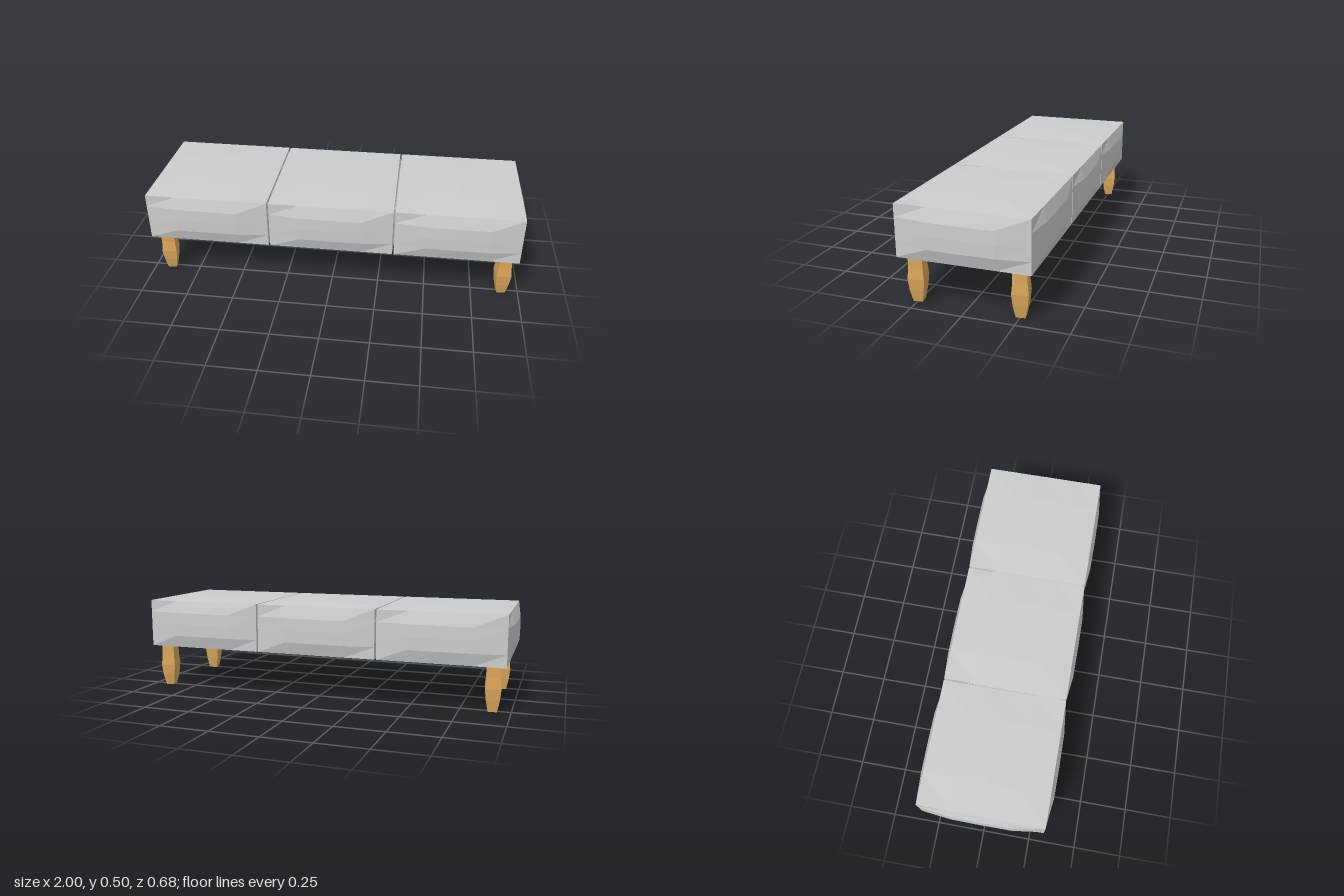
import * as THREE from 'three';

const fabric = new THREE.MeshStandardMaterial({ name: 'greyFabric', color: 0xcccccc, flatShading: true });
const wood = new THREE.MeshStandardMaterial({ name: 'lightWood', color: 0xdaa65a, flatShading: true });

// Box whose six faces swell outwards while its edges stay straight
function pillowGeometry(size, bulge) {
  const geo = new THREE.BoxGeometry(...size, 4, 4, 4);
  const pos = geo.attributes.position;
  const swell = (t) => 1 - t ** 4;
  for (let i = 0; i < pos.count; i++) {
    const t = [0, 1, 2].map((a) => pos.getComponent(i, a) / (size[a] / 2));
    for (let a = 0; a < 3; a++) {
      if (Math.abs(t[a]) < 0.999) continue;
      const push = bulge[a] * swell(t[(a + 1) % 3]) * swell(t[(a + 2) % 3]);
      pos.setComponent(i, a, Math.sign(t[a]) * (size[a] / 2 + push));
    }
  }
  geo.computeVertexNormals();
  return geo;
}

export function createModel() {
  const group = new THREE.Group();
  group.name = 'bench';

  // Three padded seat cushions, bulging into each other
  const cushionGeo = pillowGeometry([0.644, 0.256, 0.64], [0.025, 0.009, 0.022]);
  ['rightCushion', 'middleCushion', 'leftCushion'].forEach((name, i) => {
    const cushion = new THREE.Mesh(cushionGeo, fabric);
    cushion.name = name;
    cushion.position.set((i - 1) * 0.653, 0.36, 0);
    group.add(cushion);
  });

  // Square turned legs: [side width, height], closed at the foot
  const profile = [[0, 0], [0.044, 0], [0.067, 0.06], [0.078, 0.118], [0.068, 0.175], [0.068, 0.245], [0, 0.245]]
    .map(([w, y]) => new THREE.Vector2(w / Math.SQRT2, y));
  const legGeo = new THREE.LatheGeometry(profile, 4);
  legGeo.rotateY(Math.PI / 4 + 0.14);
  for (const x of [-1, 1]) {
    for (const z of [-1, 1]) {
      const leg = new THREE.Mesh(legGeo, wood);
      leg.name = (z > 0 ? 'front' : 'back') + (x > 0 ? 'Left' : 'Right') + 'Leg';
      leg.position.set(x * 0.908, 0, z * 0.251);
      group.add(leg);
    }
  }
  return group;
}
